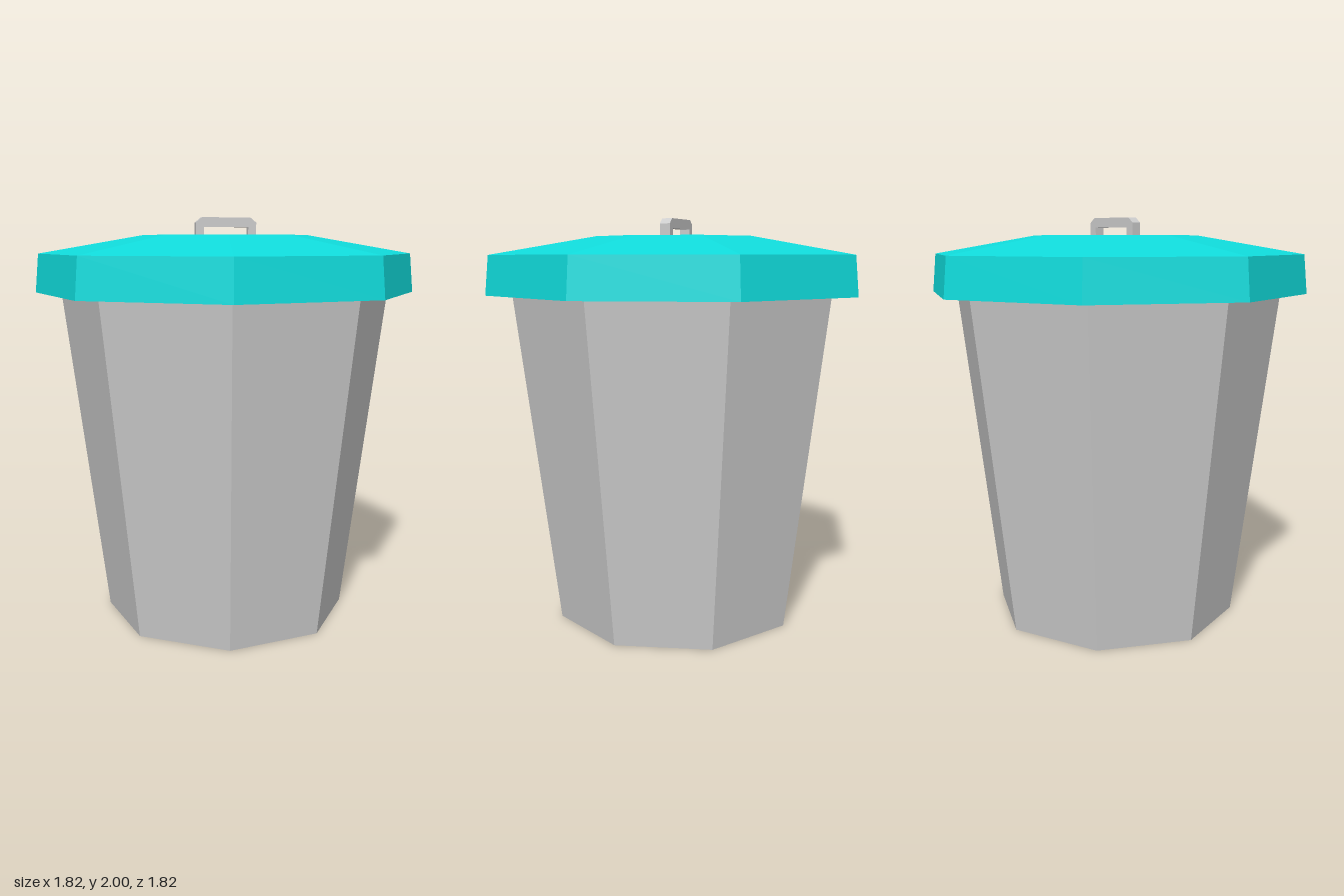
import * as THREE from 'three';

const SIDES = 8;
const TURN = THREE.MathUtils.degToRad(15.5);

// Eight-sided solid from [radius, height] pairs, listed bottom to top
function octagonal(name, profile, material) {
  const points = profile.map(([r, y]) => new THREE.Vector2(r, y));
  const mesh = new THREE.Mesh(new THREE.LatheGeometry(points, SIDES, TURN), material);
  mesh.name = name;
  return mesh;
}

export function createModel() {
  const grey = new THREE.MeshStandardMaterial({ color: 0xcccccc, flatShading: true });
  const teal = new THREE.MeshStandardMaterial({ color: 0x10dcdc, flatShading: true });
  const group = new THREE.Group();
  group.name = 'trashCan';

  // Tapered can
  group.add(octagonal('canBody', [[0, 0], [0.61, 0], [0.815, 1.635]], grey));

  // Lid with closed underside, sloping rim and flat crown
  group.add(octagonal('lid', [
    [0, 1.635], [0.942, 1.635], [0.924, 1.825], [0.405, 1.915], [0, 1.915],
  ], teal));

  // Bracket handle with bevelled upper corners
  const outline = new THREE.Shape([
    [-0.15, 0], [-0.11, 0], [-0.11, 0.043], [0.11, 0.043], [0.11, 0], [0.15, 0],
    [0.15, 0.065], [0.12, 0.09], [-0.12, 0.09], [-0.15, 0.065],
  ].map(([x, y]) => new THREE.Vector2(x, y)));
  const width = 0.052;
  const geometry = new THREE.ExtrudeGeometry(outline, { depth: width, bevelEnabled: false });
  geometry.translate(0, 0, -width / 2);
  const handle = new THREE.Mesh(geometry, grey);
  handle.name = 'lidHandle';
  handle.position.y = 1.91;
  handle.rotation.y = THREE.MathUtils.degToRad(-22.5);
  group.add(handle);

  return group;
}
